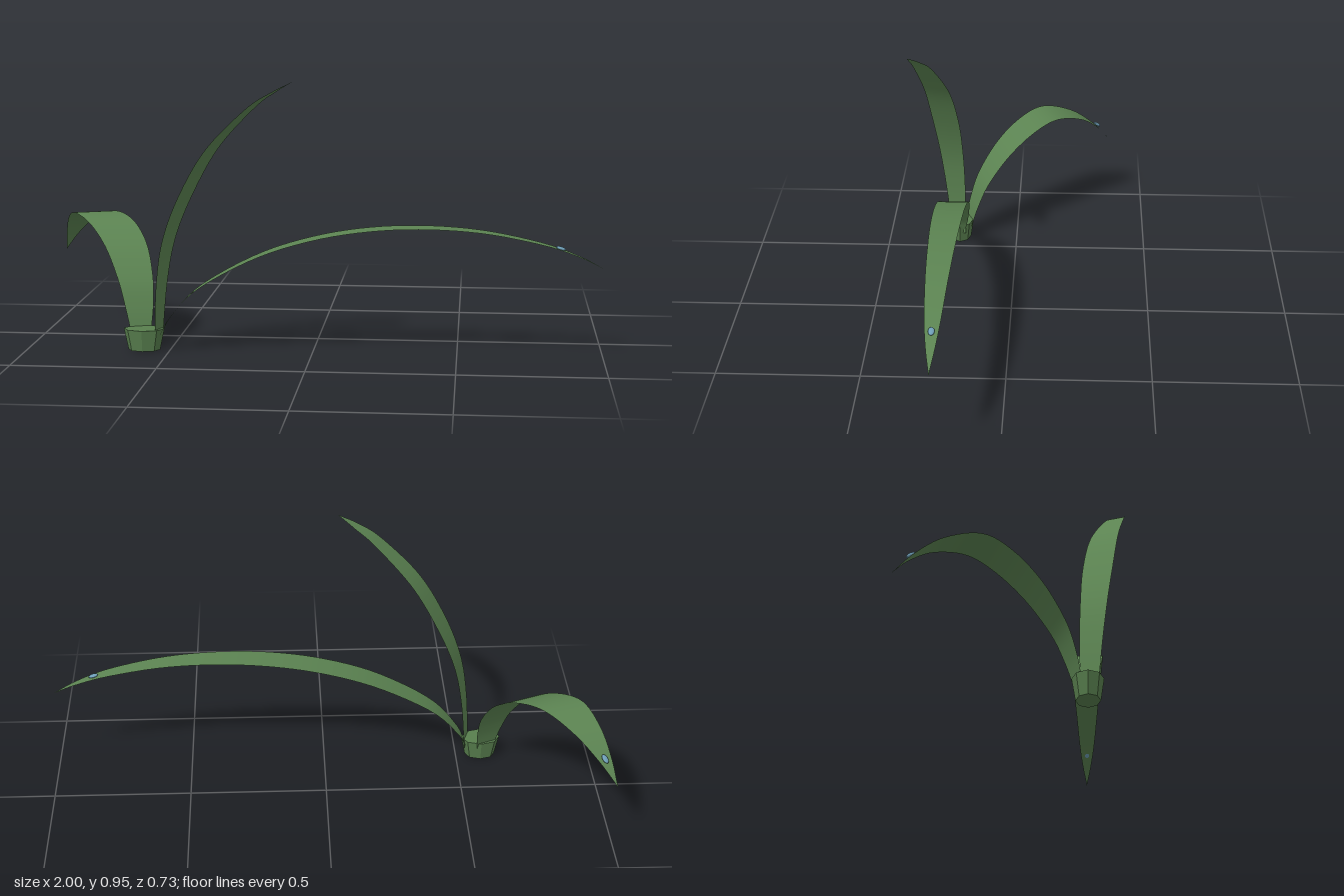
import * as THREE from 'three';

const leafGreen = new THREE.MeshStandardMaterial({ color: 0x5c8452, side: THREE.DoubleSide });
leafGreen.name = 'leaf green';
const baseGreen = new THREE.MeshStandardMaterial({ color: 0x587f4e, flatShading: true });
baseGreen.name = 'base green';
const dewBlue = new THREE.MeshStandardMaterial({ color: 0x6f9fb8 });
dewBlue.name = 'dew blue';

// Flat ribbon swept along [x, y, z, halfWidth] stations, widening along one horizontal direction
function makeLeaf(name, stations, angle) {
  const segments = 48;
  const centre = new THREE.CatmullRomCurve3(
    stations.map(([x, y, z]) => new THREE.Vector3(x, y, z)), false, 'catmullrom', 0.5);
  const widths = new THREE.CatmullRomCurve3(
    stations.map((s) => new THREE.Vector3(s[3], 0, 0)), false, 'catmullrom', 0.5);
  const side = new THREE.Vector3(Math.cos(angle), 0, Math.sin(angle));
  const positions = [];
  const index = [];
  for (let i = 0; i <= segments; i++) {
    const c = centre.getPoint(i / segments);
    const w = Math.max(widths.getPoint(i / segments).x, 0.0005);
    for (const k of [-1, 0, 1]) {
      const p = c.clone().addScaledVector(side, k * w);
      positions.push(p.x, p.y, p.z);
    }
    if (i === segments) break;
    for (const k of [0, 1]) {
      const a = i * 3 + k;
      index.push(a, a + 1, a + 3, a + 1, a + 4, a + 3);
    }
  }
  const geometry = new THREE.BufferGeometry();
  geometry.setAttribute('position', new THREE.Float32BufferAttribute(positions, 3));
  geometry.setIndex(index);
  geometry.computeVertexNormals();
  const mesh = new THREE.Mesh(geometry, leafGreen);
  mesh.name = name;
  return mesh;
}

// Small flattened bead of water lying on a leaf
function makeDrop(name, x, y, z, turn, tilt) {
  const drop = new THREE.Mesh(new THREE.SphereGeometry(1, 12, 8), dewBlue);
  drop.name = name;
  drop.scale.set(0.018, 0.006, 0.011);
  drop.position.set(x, y, z);
  drop.rotation.set(0, turn, tilt);
  return drop;
}

export function createModel() {
  const model = new THREE.Group();
  model.name = 'plant';

  // Oval, eight-sided stem base
  const base = new THREE.Mesh(new THREE.CylinderGeometry(0.072, 0.056, 0.075, 8), baseGreen);
  base.name = 'stemBase';
  base.scale.z = 0.72;
  base.position.set(-0.592, 0.0375, 0.222);
  model.add(base);

  // Long leaf arching to the side
  model.add(makeLeaf('longLeaf', [
    [-0.535, 0.05, 0.222, 0.02], [-0.5, 0.115, 0.222, 0.034], [-0.4, 0.222, 0.222, 0.047],
    [-0.2, 0.335, 0.222, 0.055], [0, 0.402, 0.222, 0.055], [0.2, 0.437, 0.222, 0.052],
    [0.4, 0.446, 0.222, 0.046], [0.6, 0.432, 0.222, 0.038], [0.8, 0.392, 0.221, 0.027],
    [0.92, 0.35, 0.22, 0.014], [1, 0.31, 0.219, 0],
  ], Math.PI / 2));

  // Upright leaf leaning forward
  model.add(makeLeaf('uprightLeaf', [
    [-0.54, 0.04, 0.225, 0.029], [-0.525, 0.24, 0.235, 0.04], [-0.495, 0.4, 0.247, 0.048],
    [-0.43, 0.56, 0.263, 0.054], [-0.335, 0.72, 0.287, 0.051], [-0.2, 0.86, 0.325, 0.037],
    [-0.12, 0.916, 0.347, 0.022], [-0.055, 0.952, 0.366, 0],
  ], 1.91));

  // Broad leaf drooping toward the back
  model.add(makeLeaf('droopingLeaf', [
    [-0.608, 0.045, 0.192, 0.034], [-0.618, 0.14, 0.168, 0.05], [-0.638, 0.235, 0.13, 0.063],
    [-0.685, 0.34, 0.055, 0.076], [-0.755, 0.41, -0.035, 0.082], [-0.834, 0.432, -0.125, 0.078],
    [-0.905, 0.395, -0.23, 0.053], [-0.96, 0.325, -0.31, 0.025], [-1, 0.25, -0.366, 0],
  ], -0.38));

  // Dew drops near two leaf tips
  model.add(makeDrop('longLeafDrop', 0.85, 0.381, 0.221, 0, -0.28));
  model.add(makeDrop('droopingLeafDrop', -0.957, 0.334, -0.313, 2.2, -0.65));
  return model;
}
